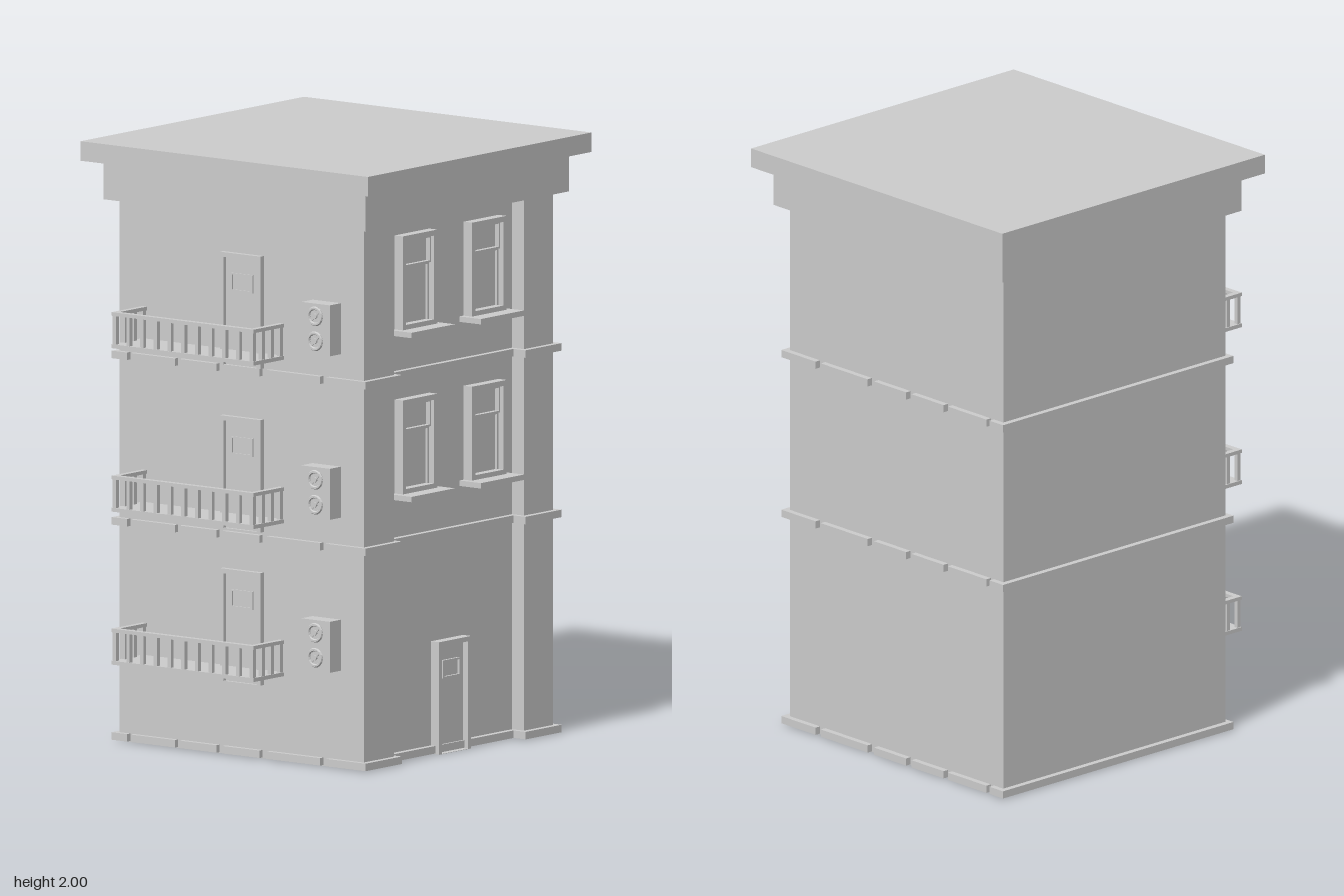
import * as THREE from 'three';

const grey = new THREE.MeshStandardMaterial({ color: 0xcccccc, side: THREE.DoubleSide, flatShading: true });

// Box given by its limits on each axis
function box(parent, name, x0, x1, y0, y1, z0, z1) {
  const m = new THREE.Mesh(new THREE.BoxGeometry(x1 - x0, y1 - y0, z1 - z0), grey);
  m.position.set((x0 + x1) / 2, (y0 + y1) / 2, (z0 + z1) / 2);
  m.name = name;
  parent.add(m);
  return m;
}

function group(parent, name) {
  const g = new THREE.Group();
  g.name = name;
  parent.add(g);
  return g;
}

const rect = (C, x0, x1, y0, y1) => new C([
  new THREE.Vector2(x0, y0), new THREE.Vector2(x1, y0), new THREE.Vector2(x1, y1), new THREE.Vector2(x0, y1)]);

// Rectangular frame in the xy plane, extruded along z from 0
function frame(parent, name, x0, x1, y0, y1, w, depth, bottom = w) {
  const s = rect(THREE.Shape, x0, x1, y0, y1);
  s.holes.push(rect(THREE.Path, x0 + w, x1 - w, y0 + bottom, y1 - w));
  const m = new THREE.Mesh(new THREE.ExtrudeGeometry(s, { depth, bevelEnabled: false }), grey);
  m.name = name;
  parent.add(m);
  return m;
}

const L = -0.47, R = 0.535, B = -0.51, F = 0.515, RECESS = 0.465;

// Hollow wall shell, open below, with the front recessed between two pilasters
function walls(parent) {
  const outline = (t) => [
    [L + t, B + t], [R - t, B + t], [R - t, F - t], [0.38 + t, F - t], [0.38 + t, RECESS - t],
    [-0.31 - t, RECESS - t], [-0.31 - t, F - t], [L + t, F - t],
  ].map(([x, z]) => new THREE.Vector2(x, -z));
  const s = new THREE.Shape(outline(0));
  s.holes.push(new THREE.Path(outline(0.004)));
  const m = new THREE.Mesh(new THREE.ExtrudeGeometry(s, { depth: 1.805, bevelEnabled: false }), grey);
  m.rotation.x = -Math.PI / 2;
  m.name = 'walls';
  parent.add(m);
}

// Belt course: solid at the back and front, broken into blocks along the sides
function belt(parent, y) {
  const g = group(parent, 'beltCourse');
  const h = y + 0.025;
  box(g, 'backBelt', L - 0.017, R + 0.02, y, h, B - 0.02, B);
  box(g, 'frontBelt', -0.31, 0.38, y, h, RECESS, RECESS + 0.02);
  for (const [x0, x1, side] of [[L - 0.017, L, -1], [R, R + 0.02, 1]]) {
    for (const [z0, z1] of [[-0.51, -0.465], [-0.45, -0.265], [-0.245, -0.09], [-0.065, 0.09], [0.12, 0.345], [0.37, F]])
      box(g, 'sideBelt', x0, x1, y, h, z0, z1);
    // Wrap around the pilaster
    const a = side < 0 ? L - 0.017 : 0.362, b = side < 0 ? -0.293 : R + 0.02;
    box(g, 'pilasterBelt', a, b, y, h, F, F + 0.02);
    const inner = side < 0 ? [-0.31, -0.293] : [0.362, 0.38];
    box(g, 'pilasterBeltReturn', ...inner, y, h, RECESS, F);
  }
}

// Sash window, centred on x = 0 with its frame base at y = 0 and wall at z = 0
function sashWindow(parent, x, y) {
  const g = group(parent, 'window');
  frame(g, 'windowFrame', -0.092, 0.092, 0, 0.315, 0.018, 0.035);
  frame(g, 'upperSash', -0.074, 0.074, 0.208, 0.297, 0.006, 0.022);
  frame(g, 'lowerSash', -0.074, 0.074, 0.01, 0.21, 0.008, 0.014);
  box(g, 'glass', -0.07, 0.07, 0.01, 0.3, 0, 0.006);
  box(g, 'sill', -0.115, 0.115, -0.016, 0.002, 0, 0.09);
  g.position.set(x, y, RECESS);
}

// Door with its base at y = 0 and wall at z = 0
function door(parent, name, depth) {
  const g = group(parent, name);
  frame(g, 'doorFrame', -0.085, 0.085, 0, 0.375, 0.016, depth, 0.001);
  box(g, 'doorLeaf', -0.07, 0.07, 0, 0.36, 0, depth * 0.35);
  frame(g, 'doorPane', -0.046, 0.046, 0.247, 0.308, 0.006, depth * 0.6);
  return g;
}

// Side balcony with slab, rails and balusters; y is the underside
function balcony(parent, y) {
  const g = group(parent, 'balcony');
  const x0 = -0.633, z0 = -0.415, z1 = 0.18, top = y + 0.12;
  box(g, 'slab', x0, L, y, y + 0.013, z0, z1);
  box(g, 'outerRail', x0, x0 + 0.02, top - 0.012, top, z0, z1);
  for (const z of [z0, z1 - 0.02]) {
    box(g, 'endRail', x0 + 0.02, L, top - 0.012, top, z, z + 0.02);
    for (let i = 1; i < 4; i++) {
      const x = x0 + 0.002 + i * 0.048;
      box(g, 'baluster', x, x + 0.015, y + 0.013, top - 0.012, z + 0.003, z + 0.017);
    }
  }
  const n = 11;
  for (let i = 0; i < n; i++) {
    const z = z0 + 0.003 + i * (z1 - z0 - 0.02) / (n - 1);
    box(g, 'baluster', x0 + 0.002, x0 + 0.017, y + 0.013, top - 0.012, z, z + 0.014);
  }
}

// Wall-hung cooling unit with two fans; y is the underside
function coolingUnit(parent, y) {
  const g = group(parent, 'coolingUnit');
  const z = 0.36;
  box(g, 'unitCase', -0.53, L, y, y + 0.17, z - 0.06, z + 0.06);
  for (const fy of [0.045, 0.128]) {
    const ring = new THREE.Mesh(new THREE.TorusGeometry(0.027, 0.006, 6, 16), grey);
    ring.rotation.y = Math.PI / 2;
    ring.position.set(-0.533, y + fy, z);
    ring.name = 'fanRing';
    const hub = new THREE.Mesh(new THREE.CylinderGeometry(0.009, 0.009, 0.012, 12), grey);
    hub.rotation.z = Math.PI / 2;
    hub.position.set(-0.533, y + fy, z);
    hub.name = 'fanHub';
    g.add(ring, hub);
    for (let i = 0; i < 2; i++) {
      const bar = box(g, 'fanBar', -0.534, -0.53, y + fy - 0.026, y + fy + 0.026, z - 0.003, z + 0.003);
      bar.rotation.x = Math.PI / 4 + i * Math.PI / 2;
    }
  }
}

export function createModel() {
  const model = new THREE.Group();
  model.name = 'building';

  walls(model);
  box(model, 'cornice', -0.505, 0.575, 1.805, 1.935, -0.55, 0.55);
  box(model, 'roofSlab', -0.56, 0.627, 1.935, 2, -0.603, 0.603);
  for (const y of [0.003, 0.72, 1.275]) belt(model, y);

  // Front openings
  for (const y of [0.89, 1.437])
    for (const x of [-0.152, 0.215]) sashWindow(model, x, y);
  door(model, 'frontDoor', 0.035).position.set(0.034, 0, RECESS);

  // Each storey of the side wall: door, balcony and cooling unit
  for (const y of [0.245, 0.755, 1.3]) {
    const d = door(model, 'balconyDoor', 0.018);
    d.rotation.y = -Math.PI / 2;
    d.position.set(L, y, 0.01);
    balcony(model, y + 0.038);
    coolingUnit(model, y + 0.08);
  }
  return model;
}
